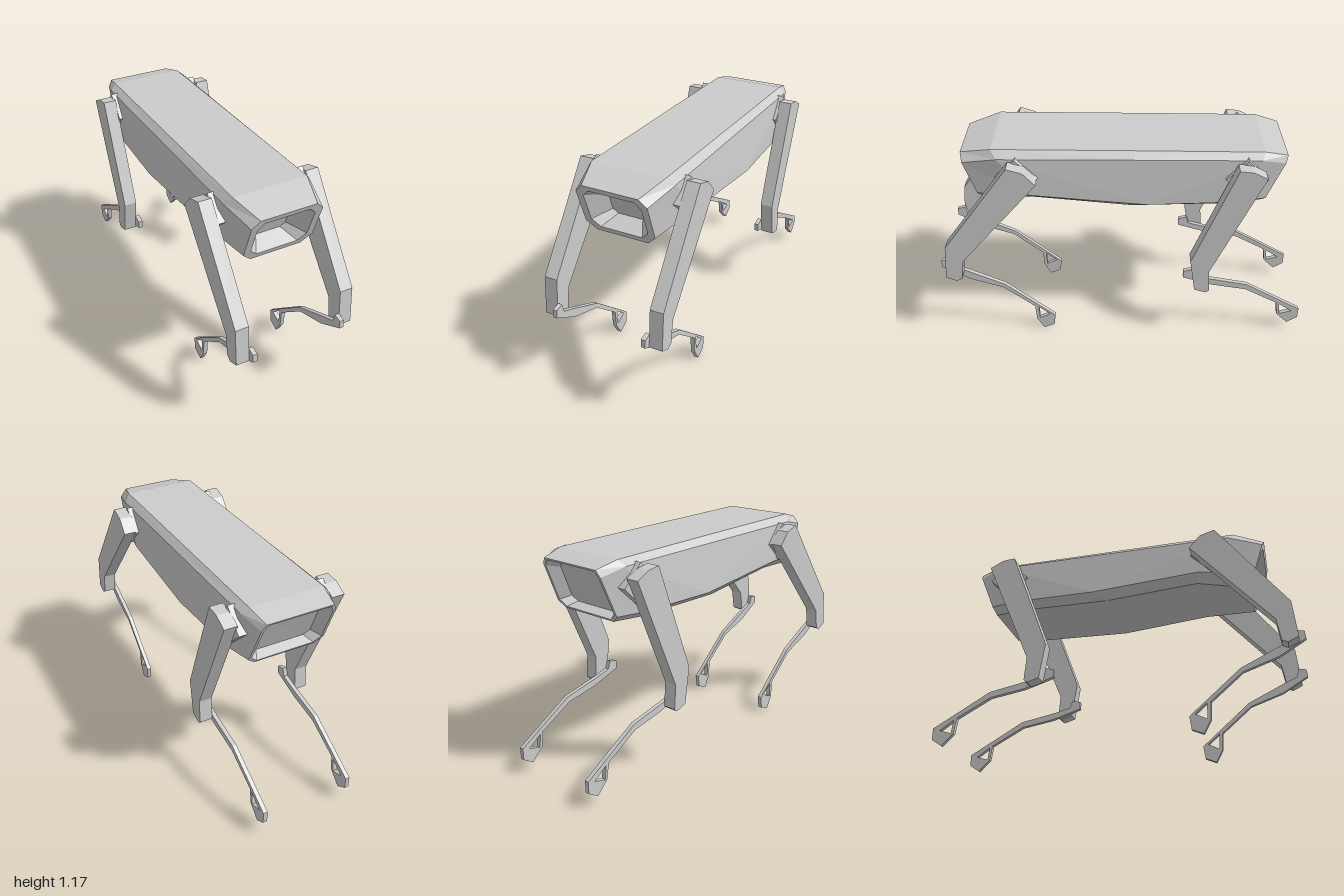
import * as THREE from 'three';

const material = new THREE.MeshStandardMaterial({ color: 0xcccccc, flatShading: true });

// Half cross-sections from nose to tail: top edge, upper side, lower side, bottom edge (x, y, z)
const stations = [
  [[0.15, 1.125, 0.835], [0.19, 1.085, 0.825], [0.19, 0.9, 0.765], [0.14, 0.85, 0.745]],
  [[0.2, 1.168, 0.67], [0.235, 1.13, 0.64], [0.25, 0.925, 0.48], [0.2, 0.883, 0.46]],
  [[0.2, 1.162, -0.05], [0.235, 1.128, -0.05], [0.26, 0.875, -0.12], [0.21, 0.838, -0.04]],
  [[0.2, 1.155, -0.71], [0.235, 1.125, -0.69], [0.245, 0.882, -0.58], [0.2, 0.846, -0.58]],
  [[0.18, 1.125, -0.83], [0.2, 1.09, -0.82], [0.21, 0.885, -0.735], [0.17, 0.85, -0.72]],
];

// Closes a half section into an eight-sided ring
const fullRing = half => [...half, ...half.map(([x, y, z]) => [-x, y, z]).reverse()];

// Shrinks a ring about its centre and pushes it along z
function inset(ring, sx, sy, dz) {
  const cy = (ring[0][1] + ring[3][1]) / 2;
  const cz = (ring[0][2] + ring[3][2]) / 2;
  return ring.map(([x, y, z]) => [x * sx, cy + (y - cy) * sy, cz + (z - cz) * sy + dz]);
}

function bodyGeometry() {
  const outer = stations.map(fullRing);
  const nose = outer[0], tail = outer[4];
  const rings = [
    inset(nose, 0.48, 0.5, -0.1), inset(nose, 0.81, 0.8, 0),
    ...outer,
    inset(tail, 0.93, 0.93, 0), inset(tail, 0.78, 0.78, 0.06),
  ];
  const pos = [];
  const tri = (...pts) => pts.forEach(p => pos.push(...p));
  for (let i = 0; i < rings.length - 1; i++) {
    for (let k = 0; k < 8; k++) {
      const n = (k + 1) % 8;
      const a = rings[i][k], b = rings[i][n], c = rings[i + 1][n], d = rings[i + 1][k];
      // creases run towards the belly's widest point on both sides
      if ((i < 4) === (k < 4)) { tri(a, b, c); tri(a, c, d); }
      else { tri(a, b, d); tri(b, c, d); }
    }
  }
  // floors of the nose and tail recesses
  const first = rings[0], last = rings[rings.length - 1];
  for (let k = 1; k < 7; k++) {
    tri(first[0], first[k + 1], first[k]);
    tri(last[0], last[k], last[k + 1]);
  }
  const g = new THREE.BufferGeometry();
  g.setAttribute('position', new THREE.Float32BufferAttribute(pos, 3));
  g.computeVertexNormals();
  return g;
}

// Extrudes a side profile of (z, y) points between two x positions
function plate(points, x0, x1, hole) {
  const v = list => list.map(([z, y]) => new THREE.Vector2(z, y));
  const shape = new THREE.Shape(v(points));
  if (hole) shape.holes.push(new THREE.Path(v(hole)));
  const g = new THREE.ExtrudeGeometry(shape, { depth: x1 - x0, bevelEnabled: false });
  return g.rotateY(-Math.PI / 2).translate(x1, 0, 0);
}

const diamond = (z, y, r) => [[z, y + r], [z - r, y], [z, y - r], [z + r, y]];

const legs = {
  front: {
    hip: diamond(0.545, 1.03, 0.108),
    thigh: [[0.58, 1.13], [0.5, 1.105], [0.44, 1.035], [0.86, 0.55], [0.88, 0.43],
      [0.91, 0.415], [0.965, 0.44], [0.945, 0.64]],
    shank: [[0.996, 0.5], [0.953, 0.51], [0.94, 0.46], [0.862, 0.426], [0.664, 0.33],
      [0.395, 0.095], [0.405, 0.025], [0.465, 0], [0.503, 0.07], [0.508, 0.165],
      [0.675, 0.308], [0.857, 0.372], [1, 0.458]],
    hole: [[0.487, 0.16], [0.425, 0.105], [0.485, 0.075]],
  },
  rear: {
    hip: diamond(-0.622, 1.028, 0.108),
    thigh: [[-0.57, 1.12], [-0.64, 1.112], [-0.712, 1.075], [-0.458, 0.48], [-0.468, 0.35],
      [-0.45, 0.335], [-0.385, 0.355], [-0.355, 0.55]],
    shank: [[-0.327, 0.426], [-0.375, 0.44], [-0.39, 0.395], [-0.477, 0.372], [-0.686, 0.33],
      [-1, 0.147], [-1, 0.083], [-0.943, 0.045], [-0.878, 0.11], [-0.866, 0.195],
      [-0.68, 0.297], [-0.493, 0.33], [-0.327, 0.383]],
    hole: [[-0.884, 0.185], [-0.96, 0.132], [-0.893, 0.112]],
  },
};

export function createModel() {
  const model = new THREE.Group();
  model.name = 'walkingRobot';
  const add = (parent, name, geometry) => {
    const mesh = new THREE.Mesh(geometry, material);
    mesh.name = name;
    parent.add(mesh);
  };

  add(model, 'body', bodyGeometry());

  // Four legs, each with a hip block, thigh and thin shank with an open foot
  for (const [end, p] of Object.entries(legs)) {
    for (const side of [1, -1]) {
      const leg = new THREE.Group();
      leg.name = `${end}${side > 0 ? 'Left' : 'Right'}Leg`;
      const span = (a, b) => (side > 0 ? [a, b] : [-b, -a]);
      add(leg, 'hip', plate(p.hip, ...span(0.205, 0.262)));
      add(leg, 'thigh', plate(p.thigh, ...span(0.257, 0.328)));
      add(leg, 'shank', plate(p.shank, ...span(0.235, 0.258), p.hole));
      model.add(leg);
    }
  }
  return model;
}
